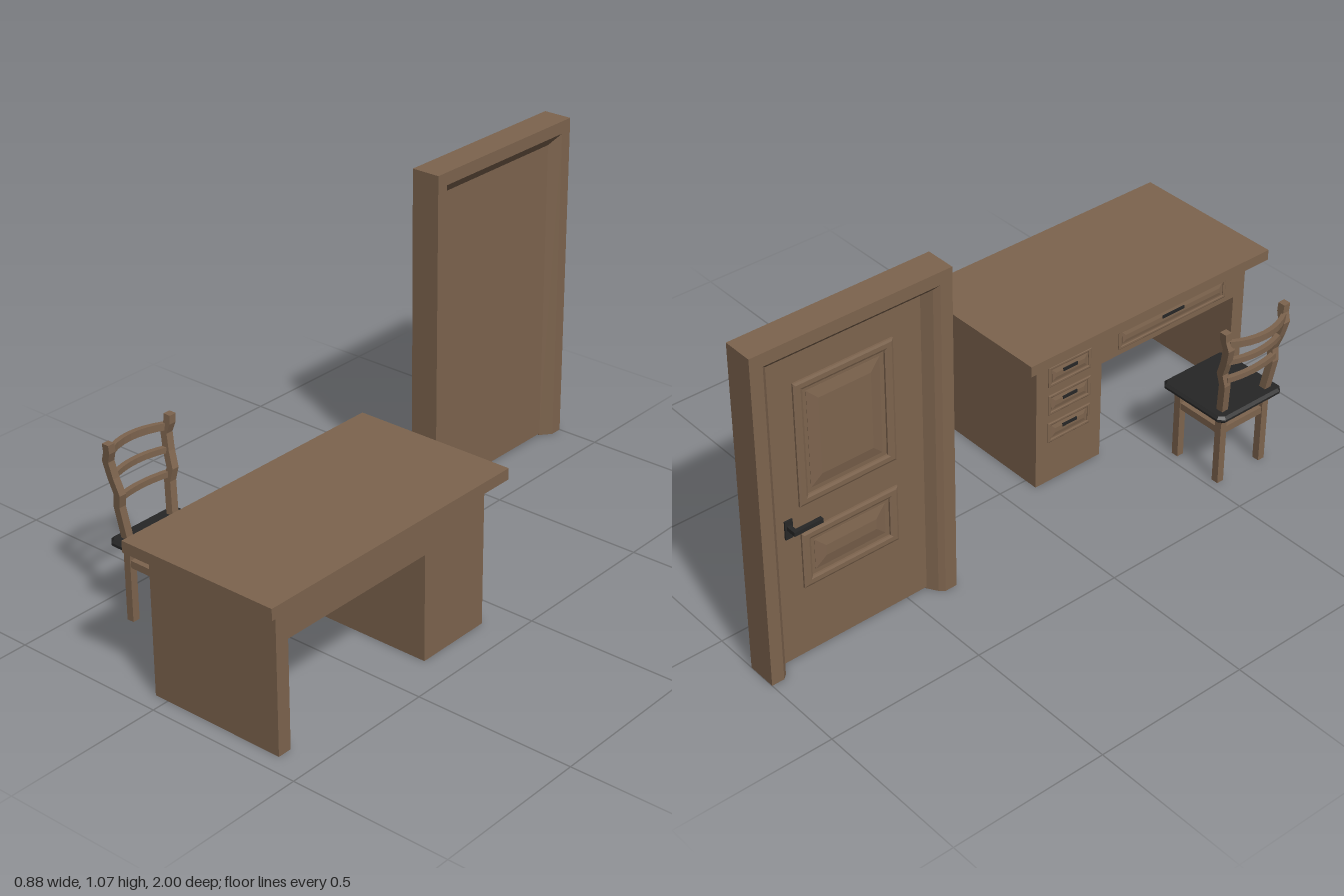
import * as THREE from 'three';

const wood = new THREE.MeshStandardMaterial({ color: 0x7d644e, flatShading: true });
const black = new THREE.MeshStandardMaterial({ color: 0x262626, flatShading: true });

function add(parent, name, geometry, material = wood) {
  const mesh = new THREE.Mesh(geometry, material);
  mesh.name = name;
  parent.add(mesh);
  return mesh;
}

// Box given by its limits on each axis
function box(parent, name, [x0, x1], [y0, y1], [z0, z1], material = wood) {
  const g = new THREE.BoxGeometry(x1 - x0, y1 - y0, z1 - z0);
  g.translate((x0 + x1) / 2, (y0 + y1) / 2, (z0 + z1) / 2);
  return add(parent, name, g, material);
}

const shapeOf = (pts) => new THREE.Shape(pts.map(([a, b]) => new THREE.Vector2(a, b)));
const rect = (w, h) => [[-w / 2, -h / 2], [w / 2, -h / 2], [w / 2, h / 2], [-w / 2, h / 2]];

// Outline in (x, -z), raised from y0 by the given height
function slab(shape, y0, height, bevel = 0) {
  const g = new THREE.ExtrudeGeometry(shape, {
    depth: height - 2 * bevel, bevelEnabled: bevel > 0, bevelThickness: bevel,
    bevelSize: bevel, bevelOffset: -bevel, bevelSegments: 1, curveSegments: 10,
  });
  return g.rotateX(-Math.PI / 2).translate(0, y0 + bevel, 0);
}

// Moulded frame with a raised field, facing -x
function mouldedPanel(parent, name, x, [y0, y1], [z0, z1], rim, depth) {
  const w = z1 - z0, h = y1 - y0;
  const place = (g) => g.rotateY(-Math.PI / 2).translate(x, (y0 + y1) / 2, (z0 + z1) / 2);
  const ring = shapeOf(rect(w, h));
  ring.holes.push(shapeOf(rect(w - 2 * rim, h - 2 * rim)));
  add(parent, name + 'Moulding', place(new THREE.ExtrudeGeometry(ring, {
    depth, bevelEnabled: true, bevelThickness: depth / 2, bevelSize: rim / 4, bevelOffset: -rim / 4, bevelSegments: 1,
  })));
  add(parent, name + 'Field', place(new THREE.ExtrudeGeometry(shapeOf(rect(w - 3 * rim, h - 3 * rim)), {
    depth: 0.001, bevelEnabled: true, bevelThickness: depth, bevelSize: rim * 1.2, bevelOffset: -rim * 1.2, bevelSegments: 1,
  })));
}

function createDesk() {
  const desk = new THREE.Group();
  desk.name = 'desk';
  const X = [-0.045, 0.4];
  box(desk, 'deskTop', [-0.085, 0.44], [0.45, 0.485], [0.045, 1]);
  box(desk, 'drawerBox', X, [0.335, 0.45], [0.1, 0.945]);
  box(desk, 'sidePanel', X, [0, 0.335], [0.9, 0.945]);
  // Pedestal, open underneath
  const ped = shapeOf([[X[0], -0.355], [X[1], -0.355], [X[1], -0.1], [X[0], -0.1]]);
  ped.holes.push(shapeOf([[X[0] + 0.02, -0.335], [X[1] - 0.02, -0.335], [X[1] - 0.02, -0.12], [X[0] + 0.02, -0.12]]));
  add(desk, 'pedestal', slab(ped, 0, 0.335));
  // Drawers with their pulls
  const drawers = [
    [[0.345, 0.415], [0.145, 0.31]], [[0.245, 0.315], [0.145, 0.31]],
    [[0.145, 0.215], [0.145, 0.31]], [[0.355, 0.425], [0.42, 0.86]],
  ];
  for (const [ys, zs] of drawers) {
    mouldedPanel(desk, 'drawer', X[0], ys, zs, 0.01, 0.0025);
    const y = (ys[0] + ys[1]) / 2 + 0.007, z = (zs[0] + zs[1]) / 2, half = (zs[1] - zs[0]) * 0.06 + 0.018;
    box(desk, 'drawerPull', [-0.051, -0.04], [y - 0.005, y + 0.005], [z - half, z + half], black);
  }
  return desk;
}

// Splayed profile carried up, across and down with mitred corners
function frameGeometry() {
  const profile = [[0, -0.235], [0.04, -0.235], [0.055, -0.222], [0.075, -0.19], [0.075, -0.168], [0.04, -0.14], [0, -0.14]];
  const n = profile.length, pos = [], idx = [], H = 1.07, z0 = -1, z1 = -0.36;
  for (let j = 0; j < 4; j++) {
    for (const [w, x] of profile) {
      pos.push(x, j === 0 || j === 3 ? 0 : H - w, j < 2 ? z0 + w : z1 - w);
    }
  }
  for (let j = 0; j < 3; j++) {
    for (let i = 0; i < n; i++) {
      const k = (i + 1) % n, a = j * n + i, b = j * n + k;
      idx.push(a, b, b + n, a, b + n, a + n);
    }
  }
  for (let i = 1; i < n - 1; i++) idx.push(0, i + 1, i, 3 * n, 3 * n + i, 3 * n + i + 1);
  const g = new THREE.BufferGeometry();
  g.setAttribute('position', new THREE.Float32BufferAttribute(pos, 3));
  g.setIndex(idx);
  const flat = g.toNonIndexed();
  flat.computeVertexNormals();
  return flat;
}

function createDoor() {
  const door = new THREE.Group();
  door.name = 'door';
  add(door, 'doorFrame', frameGeometry());
  box(door, 'doorLeaf', [-0.192, -0.167], [0.006, 1], [-0.93, -0.43]);
  mouldedPanel(door, 'upperPanel', -0.192, [0.51, 0.905], [-0.85, -0.53], 0.028, 0.006);
  mouldedPanel(door, 'lowerPanel', -0.192, [0.235, 0.42], [-0.85, -0.53], 0.028, 0.006);
  // Lever handle
  box(door, 'handlePlate', [-0.197, -0.19], [0.425, 0.485], [-0.9, -0.875], black);
  box(door, 'handleSpindle', [-0.222, -0.195], [0.455, 0.468], [-0.894, -0.881], black);
  box(door, 'handleLever', [-0.23, -0.217], [0.455, 0.468], [-0.894, -0.8], black);
  return door;
}

function createChair() {
  const chair = new THREE.Group();
  chair.name = 'chair';
  const zMid = 0.625, c = 0.018;
  // Cushion with cut corners
  const [x0, x1, z0, z1] = [-0.41, -0.152, -0.755, -0.495];
  add(chair, 'seat', slab(shapeOf([
    [x0 + c, z0], [x1 - c, z0], [x1, z0 + c], [x1, z1 - c],
    [x1 - c, z1], [x0 + c, z1], [x0, z1 - c], [x0, z0 + c],
  ]), 0.242, 0.023, 0.008), black);
  box(chair, 'seatFrame', [-0.388, -0.175], [0.225, 0.246], [0.522, 0.728]);

  // Back post: rows of [x, y], leaning and splaying outward
  const rows = [[-0.367, 0.24], [-0.384, 0.365], [-0.376, 0.405], [-0.393, 0.455], [-0.404, 0.505], [-0.394, 0.535], [-0.394, 0.562]];
  for (const side of [-1, 1]) {
    const zLeg = zMid + side * 0.086;
    const zs = [zLeg - 0.012, zLeg + 0.012];
    box(chair, 'backLeg', [-0.379, -0.355], [0, 0.23], zs);
    box(chair, 'frontLeg', [-0.207, -0.183], [0, 0.23], zs);
    box(chair, 'sideStretcher', [-0.356, -0.206], [0.175, 0.198], [zLeg - 0.009, zLeg + 0.009]);

    const g = new THREE.BoxGeometry(0.024, 1, 0.024, 1, rows.length - 1, 1);
    const p = g.attributes.position;
    for (let i = 0; i < p.count; i++) {
      const t = p.getY(i) + 0.5;
      const [x, y] = rows[Math.round(t * (rows.length - 1))];
      p.setXYZ(i, p.getX(i) + x, y, p.getZ(i) + zMid + side * (0.086 + 0.032 * (y - 0.24) / 0.32));
    }
    g.computeVertexNormals();
    add(chair, 'backPost', g);
  }
  for (const x of [-0.367, -0.195]) {
    box(chair, 'crossStretcher', [x - 0.009, x + 0.009], [0.175, 0.198], [zMid - 0.076, zMid + 0.076]);
  }

  // Bowed rails: [x at the posts, y, height, half length, bow]
  const rails = [[-0.387, 0.375, 0.018, 0.099, 0.013], [-0.395, 0.446, 0.018, 0.106, 0.022], [-0.402, 0.512, 0.022, 0.113, 0.034]];
  for (const [x, y, h, half, bow] of rails) {
    const outer = [], inner = [], N = 8;
    for (let i = 0; i <= N; i++) {
      const u = (i / N) * 2 - 1;
      const bx = x - bow * (1 - u * u);
      outer.push([bx - 0.008, -zMid + u * half]);
      inner.unshift([bx + 0.008, -zMid + u * half]);
    }
    add(chair, 'backRail', slab(shapeOf([...outer, ...inner]), y, h));
  }
  return chair;
}

export function createModel() {
  const model = new THREE.Group();
  model.name = 'deskChairAndDoor';
  model.add(createDesk(), createDoor(), createChair());
  return model;
}
